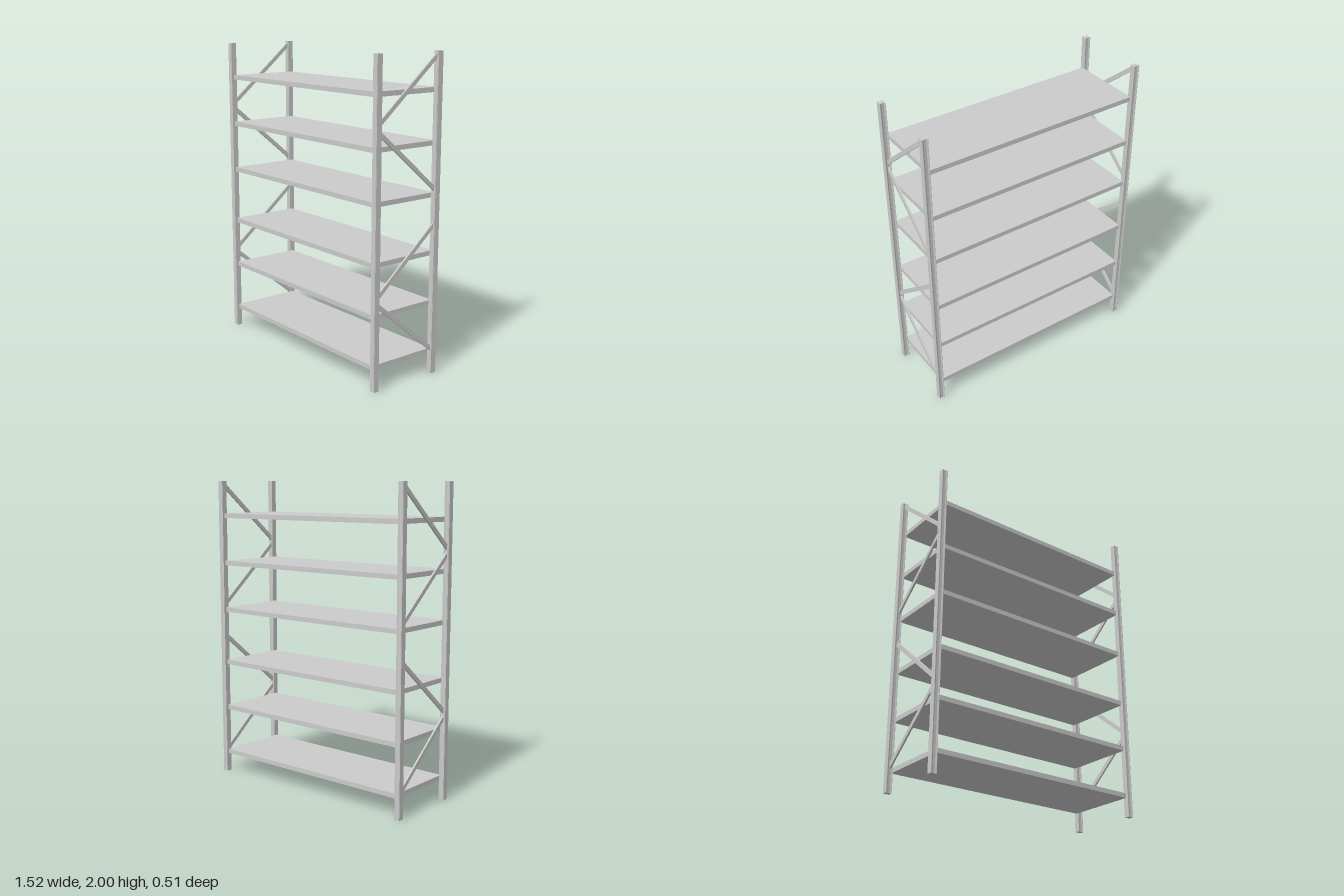
import * as THREE from 'three';

export function createModel() {
  const rack = new THREE.Group();
  rack.name = 'shelvingRack';
  const material = new THREE.MeshStandardMaterial({ color: 0xcccccc, flatShading: true });
  const postX = 0.741, postZ = 0.237;

  function add(name, geometry, x, y, z) {
    const mesh = new THREE.Mesh(geometry, material);
    mesh.name = name;
    mesh.position.set(x, y, z);
    rack.add(mesh);
    return mesh;
  }

  // Upright posts, with a shallow sloped groove along the front and back
  const w = 0.0185, d = 0.0185, g = 0.0135, m = 0.008;
  const section = new THREE.Shape([
    [-w, -d], [-w + 0.002, -d], [-m, -g], [m, -g], [w - 0.002, -d], [w, -d],
    [w, d], [w - 0.002, d], [m, g], [-m, g], [-w + 0.002, d], [-w, d],
  ].map(([x, y]) => new THREE.Vector2(x, y)));
  const postGeometry = new THREE.ExtrudeGeometry(section, { depth: 2, bevelEnabled: false });
  postGeometry.rotateX(-Math.PI / 2);
  for (const sx of [-1, 1]) {
    for (const sz of [-1, 1]) {
      add((sz > 0 ? 'front' : 'back') + (sx > 0 ? 'Left' : 'Right') + 'Post',
        postGeometry, sx * postX, 0, sz * postZ);
    }
  }

  // Shelves
  const shelfGeometry = new THREE.BoxGeometry(1.448, 0.03, 0.478);
  [0.14, 0.457, 0.775, 1.138, 1.455, 1.772].forEach((y, i) => {
    add('shelf' + (i + 1), shelfGeometry, 0, y, 0);
  });

  // Diagonal side braces: boxes sheared so their ends meet the posts vertically
  const braces = [[0.533, 0.164], [0.583, 0.952], [1.553, 1.183], [1.605, 1.972]];
  braces.forEach(([yFront, yBack], i) => {
    const geometry = new THREE.BoxGeometry(0.012, 0.034, 0.44);
    const position = geometry.attributes.position;
    const slope = (yFront - yBack) / 0.44;
    for (let k = 0; k < position.count; k++) {
      position.setY(k, position.getY(k) + position.getZ(k) * slope);
    }
    geometry.computeVertexNormals();
    for (const sx of [-1, 1]) {
      add((sx > 0 ? 'left' : 'right') + 'Brace' + (i + 1),
        geometry, sx * postX, (yFront + yBack) / 2, 0);
    }
  });

  return rack;
}
